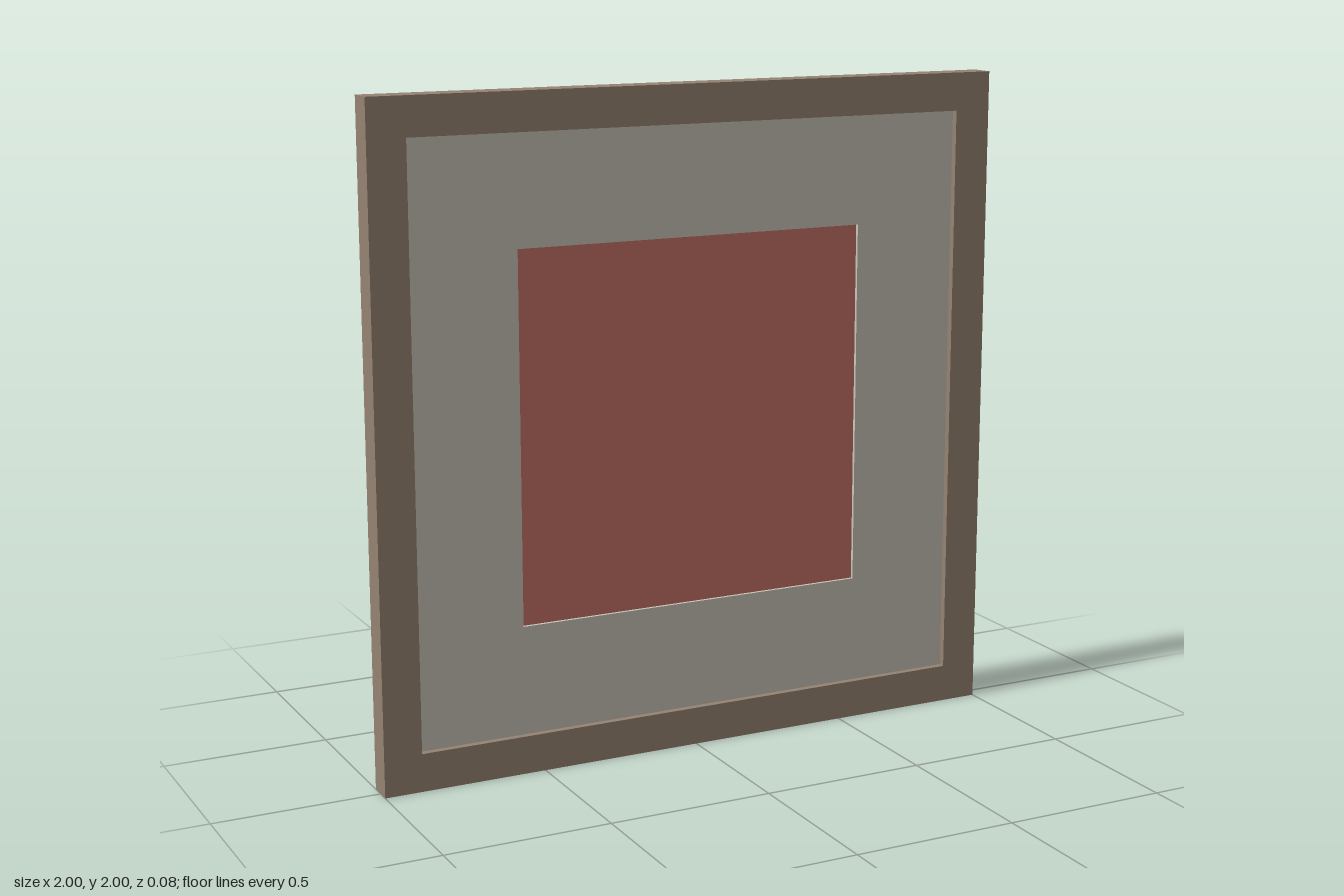
import * as THREE from 'three';

const frameBrown = new THREE.MeshStandardMaterial({ color: 0x968473 });
frameBrown.name = 'frameBrown';
const matCream = new THREE.MeshStandardMaterial({ color: 0xc9c6b8 });
matCream.name = 'matCream';
const pictureRed = new THREE.MeshStandardMaterial({ color: 0xc87369 });
pictureRed.name = 'pictureRed';

// Counter-clockwise square outline with the given half side
function square(PathType, h) {
  return new PathType([[-h, -h], [h, -h], [h, h], [-h, h]].map(([x, y]) => new THREE.Vector2(x, y)));
}

// Square slab from zBack to zFront, with an optional square opening
function slab(name, material, outer, opening, zBack, zFront) {
  const shape = square(THREE.Shape, outer);
  if (opening) shape.holes.push(square(THREE.Path, opening));
  const geometry = new THREE.ExtrudeGeometry(shape, { depth: zFront - zBack, bevelEnabled: false });
  const mesh = new THREE.Mesh(geometry, material);
  mesh.name = name;
  mesh.position.set(0, 1, zBack);
  return mesh;
}

export function createModel() {
  const group = new THREE.Group();
  group.name = 'pictureFrame';
  group.add(
    // Outer frame
    slab('frame', frameBrown, 1, 0.885, -0.04, 0.04),
    // Front: mat border set into the frame, picture behind it
    slab('mat', matCream, 0.885, 0.555, 0.01, 0.02),
    slab('picture', pictureRed, 0.885, 0, 0.002, 0.01),
    // Back: stepped rim around a recessed backing board
    slab('backRim', frameBrown, 0.885, 0.73, -0.03, -0.01),
    slab('backingBoard', frameBrown, 0.885, 0, -0.01, 0.002),
  );
  return group;
}
